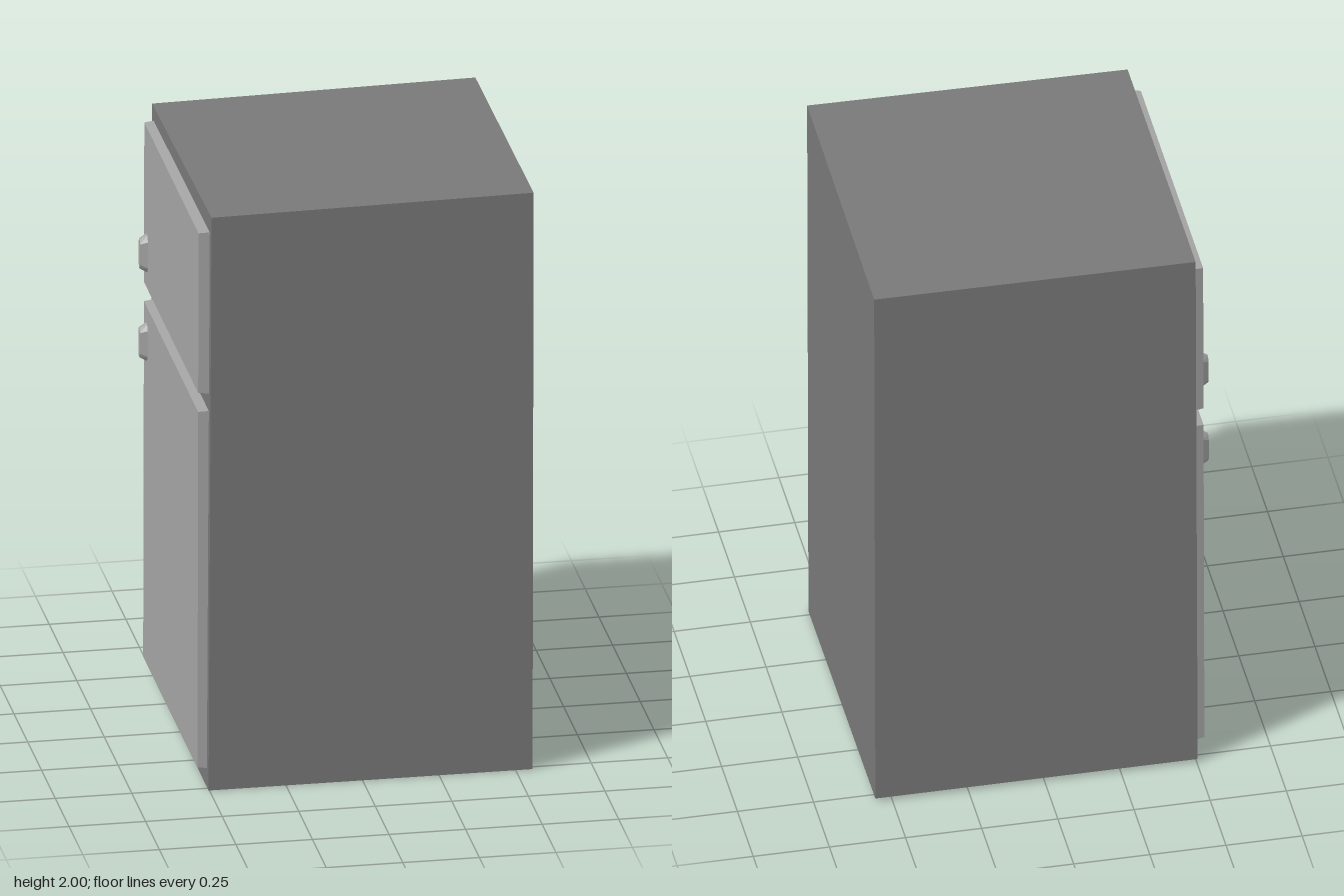
import * as THREE from 'three';

const cabinetMaterial = new THREE.MeshStandardMaterial({ color: 0x797979, flatShading: true });
const doorMaterial = new THREE.MeshStandardMaterial({ color: 0xa5a5a5, flatShading: true });

// The whole cabinet leans slightly towards +z as it rises.
const lean = (y) => 0.011 * (y - 1);

function addMesh(group, name, geometry, material) {
  geometry.computeVertexNormals();
  const mesh = new THREE.Mesh(geometry, material);
  mesh.name = name;
  group.add(mesh);
}

// Slab standing out towards -x, with its outer face scaled in by su (z) and sv (y).
function taperedSlab(outline, depth, su, sv, x, y, z) {
  const geometry = new THREE.ExtrudeGeometry(new THREE.Shape(outline), { depth, bevelEnabled: false });
  const p = geometry.attributes.position;
  for (let i = 0; i < p.count; i++) {
    if (p.getZ(i) > depth / 2) p.setXY(i, p.getX(i) * su, p.getY(i) * sv);
  }
  geometry.rotateY(-Math.PI / 2).translate(x, y, z);
  for (let i = 0; i < p.count; i++) p.setZ(i, p.getZ(i) + lean(p.getY(i)));
  return geometry;
}

function rectangle(w, h) {
  return [[-w, -h], [w, -h], [w, h], [-w, h]].map(([u, v]) => new THREE.Vector2(u / 2, v / 2));
}

// Upright elongated octagon for the handles
function longOctagon(w, h) {
  return [[-0.4, -1], [0.4, -1], [1, -0.7], [1, 0.7], [0.4, 1], [-0.4, 1], [-1, 0.7], [-1, -0.7]]
    .map(([u, v]) => new THREE.Vector2(u * w / 2, v * h / 2));
}

export function createModel() {
  const group = new THREE.Group();
  group.name = 'refrigerator';

  // Cabinet: a box with slightly uneven corners
  const cabinet = new THREE.BoxGeometry(1, 1, 1);
  const p = cabinet.attributes.position;
  for (let i = 0; i < p.count; i++) {
    const right = p.getX(i) > 0, top = p.getY(i) > 0, front = p.getZ(i) > 0;
    const x = right ? 0.555 : !top ? -0.503 : front ? -0.497 : -0.502;
    const y = top ? 2 - (right ? 0 : 0.013) - (front ? 0 : 0.014) : (front ? 0 : 0.012);
    const z = front ? (top ? 0.54 : 0.52) : (top ? (right ? -0.519 : -0.511) : -0.538);
    p.setXYZ(i, x, y, z);
  }
  addMesh(group, 'cabinet', cabinet, cabinetMaterial);

  // Two doors on the -x side, each with a handle near the -z edge
  const doors = [
    { name: 'freezerDoor', bottom: 1.365, top: 1.925, handleY: 1.488 },
    { name: 'mainDoor', bottom: 0.065, top: 1.305, handleY: 1.18 },
  ];
  for (const { name, bottom, top, handleY } of doors) {
    const h = top - bottom;
    addMesh(group, name,
      taperedSlab(rectangle(0.995, h), 0.039, 0.99, 1 - 0.006 / h, -0.494, (top + bottom) / 2, 0.002),
      doorMaterial);
    addMesh(group, name + 'Handle',
      taperedSlab(longOctagon(0.05, 0.13), 0.026, 0.55, 0.78, -0.531, handleY, -0.443), doorMaterial);
  }
  return group;
}
